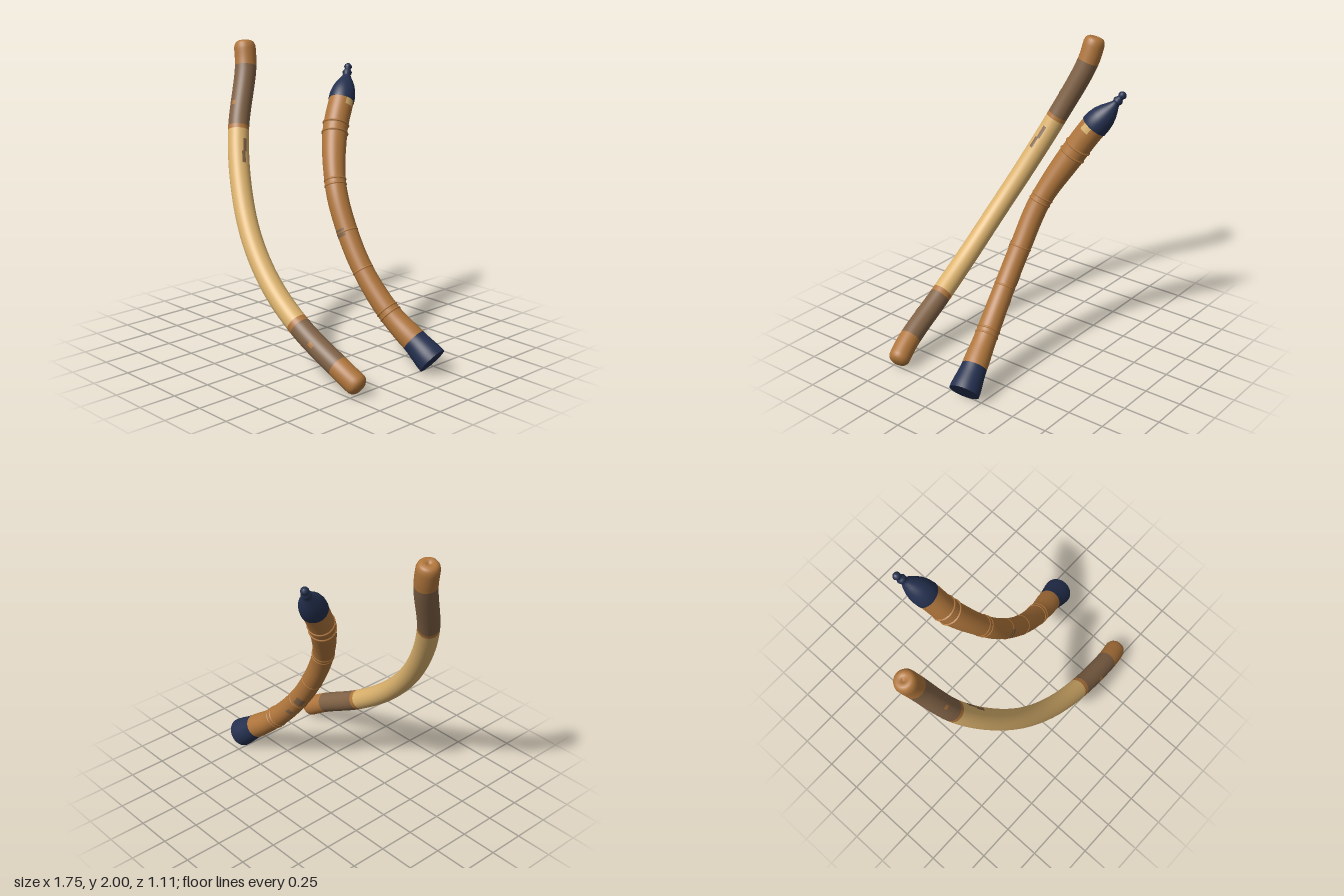
import * as THREE from 'three';

const mat = (name, color, side = THREE.FrontSide) => {
  const m = new THREE.MeshStandardMaterial({ color, side });
  m.name = name;
  return m;
};

// A horn is a curve running from its top end down, plus radii listed by height
function makeHorn(points, radii) {
  const curve = new THREE.CatmullRomCurve3(points.map(p => new THREE.Vector3(...p)), false, 'centripetal');
  curve.arcLengthDivisions = 800;
  const length = curve.getLength();
  const distAt = y => {
    let lo = 0, hi = 1;
    for (let i = 0; i < 30; i++) {
      const mid = (lo + hi) / 2;
      if (curve.getPointAt(mid).y > y) lo = mid; else hi = mid;
    }
    return lo * length;
  };
  const stations = radii.map(([y, r]) => [distAt(y), r]);
  const radiusAt = d => {
    let i = 1;
    while (i < stations.length - 1 && stations[i][0] < d) i++;
    const [d0, r0] = stations[i - 1], [d1, r1] = stations[i];
    return THREE.MathUtils.lerp(r0, r1, THREE.MathUtils.smoothstep(d, d0, d1));
  };
  return { curve, length, distAt, radiusAt };
}

// Sweeps [distance, radius] stations along the horn; angle 0 faces +x, PI/2 faces +z
function sweep(horn, profile, a0 = 0, a1 = Math.PI * 2, sides = 40) {
  const full = a1 - a0 > 6.28;
  const cols = full ? sides : sides + 1;
  const pos = [], index = [];
  const N = new THREE.Vector3(), B = new THREE.Vector3();
  for (const [d, r] of profile) {
    const u = THREE.MathUtils.clamp(d / horn.length, 0, 1);
    const P = horn.curve.getPointAt(u), T = horn.curve.getTangentAt(u);
    N.set(1, 0, 0).addScaledVector(T, -T.x).normalize();
    B.crossVectors(T, N);
    for (let j = 0; j < cols; j++) {
      const a = a0 + (a1 - a0) * j / sides;
      const v = P.clone().addScaledVector(N, r * Math.cos(a)).addScaledVector(B, r * Math.sin(a));
      pos.push(v.x, v.y, v.z);
    }
  }
  for (let i = 0; i < profile.length - 1; i++) {
    for (let j = 0; j < sides; j++) {
      const k = (j + 1) % cols;
      const a = i * cols + j, b = i * cols + k, c = a + cols, e = b + cols;
      index.push(a, b, c, b, e, c);
    }
  }
  const g = new THREE.BufferGeometry();
  g.setAttribute('position', new THREE.Float32BufferAttribute(pos, 3));
  g.setIndex(index);
  g.computeVertexNormals();
  return g;
}

// Stations between two distances, following the horn's own radius
function span(horn, d0, d1, lift = 0) {
  const n = Math.max(2, Math.ceil((d1 - d0) / 0.03));
  return Array.from({ length: n + 1 }, (_, i) => {
    const d = d0 + (d1 - d0) * i / n;
    return [d, horn.radiusAt(d) + lift];
  });
}

export function createModel() {
  const tan = mat('tan horn', 0xb0763c);
  const cream = mat('cream horn', 0xdbb26d, THREE.DoubleSide);
  const brown = mat('grey brown wrap', 0x806246, THREE.DoubleSide);
  const blue = mat('dark blue', 0x24304f);
  const tanSpot = mat('tan spot', 0xb0763c, THREE.DoubleSide);

  const model = new THREE.Group();
  const add = (group, name, geometry, material) => {
    const mesh = new THREE.Mesh(geometry, material);
    mesh.name = name;
    group.add(mesh);
  };
  const section = (group, horn, name, y0, y1, material) =>
    add(group, name, sweep(horn, span(horn, horn.distAt(y0), horn.distAt(y1))), material);
  const patch = (group, horn, name, y0, y1, angle, width, material) =>
    add(group, name, sweep(horn, span(horn, horn.distAt(y0), horn.distAt(y1), 0.002),
      angle - width / 2, angle + width / 2, 6), material);

  // Long pale horn
  const pale = new THREE.Group();
  pale.name = 'paleHorn';
  model.add(pale);
  const A = makeHorn([
    [-0.81, 1.99, 0], [-0.765, 1.82, 0.03], [-0.643, 1.42, 0.2], [-0.464, 1.08, 0.33],
    [-0.248, 0.786, 0.425], [0.003, 0.538, 0.475], [0.29, 0.335, 0.488],
    [0.63, 0.155, 0.47], [0.785, 0.06, 0.44],
  ], [[1.99, 0.074], [1.42, 0.071], [0.8, 0.069], [0.335, 0.071], [0.06, 0.072]]);

  // Rounded ends, the upper one with a small hollow
  const topProfile = [[0.012, 0], [0.012, 0.015], [0, 0.024], [0.001, 0.045], [0.008, 0.058], [0.02, 0.067], [0.04, 0.073]];
  add(pale, 'upperEnd', sweep(A, [...topProfile, ...span(A, 0.06, A.distAt(1.825))]), tan);
  const endProfile = [[0.04, 0.071], [0.026, 0.066], [0.014, 0.057], [0.005, 0.042], [0.001, 0.025], [0, 0]];
  add(pale, 'lowerEnd', sweep(A, [
    ...span(A, A.distAt(0.165), A.length - 0.06),
    ...endProfile.map(([d, r]) => [A.length - d, r]),
  ]), tan);
  section(pale, A, 'upperWrap', 1.825, 1.44, brown);
  section(pale, A, 'upperWrapEdge', 1.44, 1.415, tan);
  section(pale, A, 'middle', 1.415, 0.355, cream);
  section(pale, A, 'lowerWrapEdge', 0.355, 0.335, tan);
  section(pale, A, 'lowerWrap', 0.335, 0.165, brown);
  patch(pale, A, 'darkStreakUpper', 1.35, 1.27, 0.1, 0.35, brown);
  patch(pale, A, 'darkStreakLower', 1.27, 1.2, 0.25, 0.35, brown);
  patch(pale, A, 'upperSpot', 1.585, 1.56, 1.5, 0.4, tanSpot);
  patch(pale, A, 'lowerSpot', 0.262, 0.245, 1.1, 0.4, tanSpot);

  // Ringed horn with blue ends
  const ringed = new THREE.Group();
  ringed.name = 'ringedHorn';
  model.add(ringed);
  const C = makeHorn([
    [-0.345, 1.83, -0.54], [-0.3, 1.72, -0.47], [-0.25, 1.6, -0.38], [-0.19, 1.41, -0.265],
    [-0.03, 1.09, -0.12], [0.125, 0.81, -0.08], [0.3, 0.56, -0.073],
    [0.51, 0.33, -0.1], [0.69, 0.185, -0.14], [0.815, 0.085, -0.165],
  ], [[1.6, 0.085], [1.41, 0.084], [1.09, 0.071], [0.6, 0.069], [0.33, 0.074], [0.2, 0.083], [0.085, 0.1]]);

  // Beaded finial: distances measured from the very tip
  const base = C.distAt(1.6);
  add(ringed, 'blueFinial', sweep(C, [
    [0, 0], [0.004, 0.014], [0.014, 0.024], [0.026, 0.027], [0.038, 0.023], [0.046, 0.018],
    [0.054, 0.025], [0.066, 0.032], [0.078, 0.03], [0.088, 0.025], [0.105, 0.032],
    [0.135, 0.049], [0.17, 0.066], [0.21, 0.08], [0.25, 0.087], [base, 0.089], [base, 0.08],
  ]), blue);
  section(ringed, C, 'body', 1.605, 0.195, tan);
  section(ringed, C, 'blueFoot', 0.195, 0.085, blue);
  add(ringed, 'blueFootCap', sweep(C, [[C.length, C.radiusAt(C.length)], [C.length, 0]]), blue);

  // Raised rings
  [[1.455, 0.007], [1.4, 0.007], [1.12, 0.004], [1.09, 0.004], [0.81, 0.003],
    [0.585, 0.003], [0.36, 0.004], [0.335, 0.004]].forEach(([y, h], i) => {
    const d = C.distAt(y), r = C.radiusAt(d);
    add(ringed, `ring${i + 1}`, sweep(C, [[d - 0.009, r - 0.002], [d - 0.004, r + h * 0.8],
      [d, r + h], [d + 0.004, r + h * 0.8], [d + 0.009, r - 0.002]]), tan);
  });

  // Worn patches
  patch(ringed, C, 'frontPatch', 0.83, 0.785, 1.6, 1.2, brown);
  patch(ringed, C, 'backPatchUpper', 0.67, 0.61, 4.1, 0.9, brown);
  patch(ringed, C, 'backPatchLower', 0.53, 0.5, 4.1, 0.6, brown);
  patch(ringed, C, 'creamChip', 1.6, 1.565, 0.1, 0.7, cream);

  return model;
}
